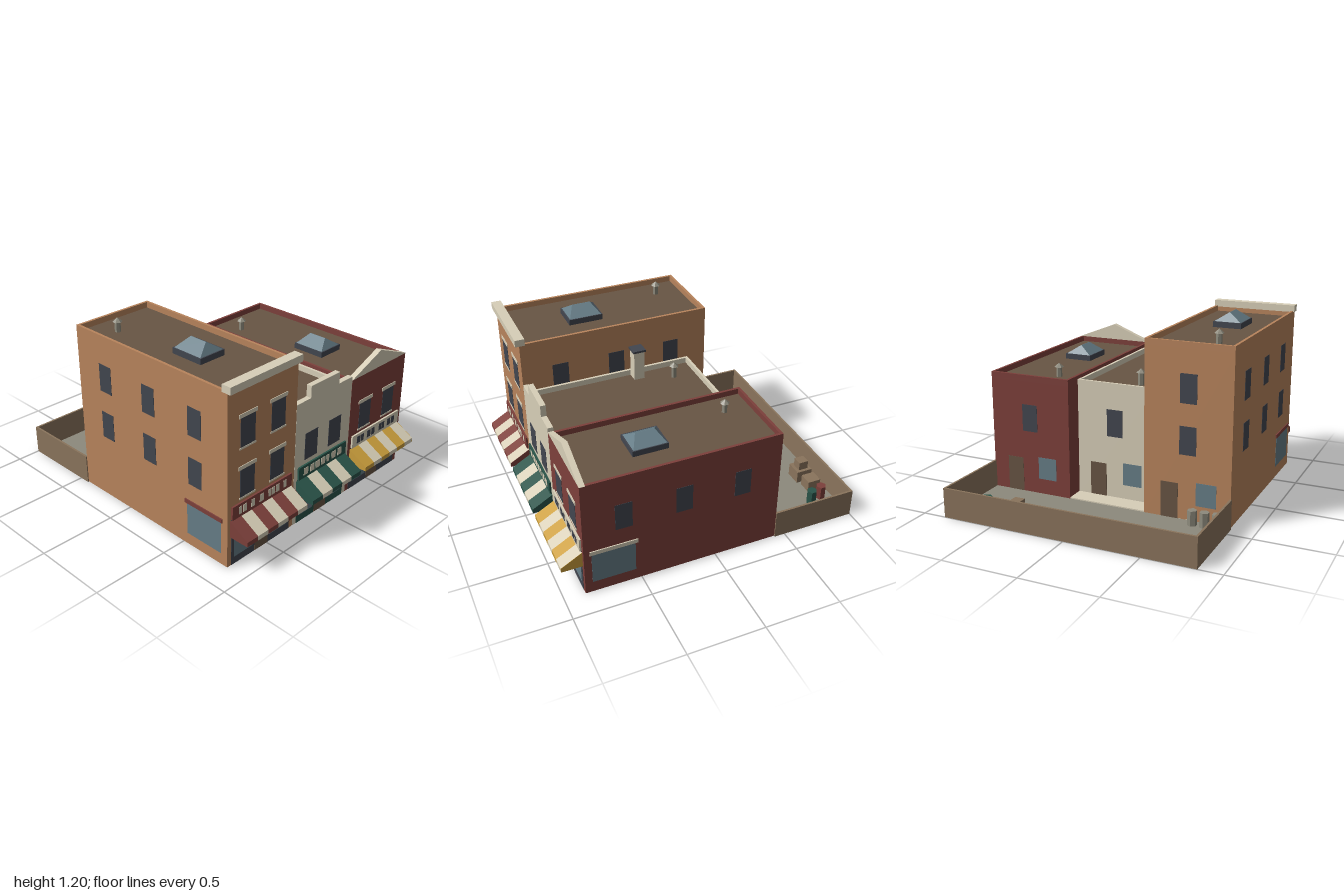
import * as THREE from 'three';

const mat = (name, color) => {
  const m = new THREE.MeshStandardMaterial({ color });
  m.name = name;
  return m;
};

export function createModel() {
  const model = new THREE.Group();
  model.name = 'shopRow';
  const tan = mat('tanBrick', 0xb8845c), cream = mat('creamStone', 0xd8cfb8), red = mat('redBrick', 0x7d403b),
    green = mat('greenPaint', 0x2a5449), yellow = mat('yellowCloth', 0xcb9e3c), dark = mat('darkSlate', 0x42464f),
    glass = mat('glass', 0x667d87), roofMat = mat('darkBrown', 0x685544), wood = mat('wood', 0x8a745c),
    paving = mat('paving', 0x8d8a7c);

  const add = (parent, name, geo, material) => {
    const m = new THREE.Mesh(geo, material);
    m.name = name;
    parent.add(m);
    return m;
  };
  // Box given by its minimum and maximum corners
  const box = (parent, name, material, x0, x1, y0, y1, z0, z1) => {
    const m = add(parent, name, new THREE.BoxGeometry(x1 - x0, y1 - y0, z1 - z0), material);
    m.position.set((x0 + x1) / 2, (y0 + y1) / 2, (z0 + z1) / 2);
    return m;
  };
  const prism = (parent, name, material, rTop, rBottom, x, y0, y1, z) => {
    const geo = new THREE.CylinderGeometry(rTop, rBottom, y1 - y0, 6).toNonIndexed();
    geo.computeVertexNormals();
    add(parent, name, geo, material).position.set(x, (y0 + y1) / 2, z);
  };
  const group = (name) => {
    const g = new THREE.Group();
    g.name = name;
    model.add(g);
    return g;
  };

  const FRONT = 0.865, BACK = -0.427, SINK = 0.042, THIN = 0.002;
  const ROWS = [[0.435, 0.617], [0.76, 0.945]], SIDE_Z = [-0.17, 0.22, 0.607];

  // Body, raised parapet rim and sunken roof
  function shell(g, wall, x0, x1, zBack, top) {
    const t = 0.018, r = top - SINK;
    box(g, 'walls', wall, x0, x1, 0.003, r, zBack, FRONT);
    box(g, 'parapetLeft', wall, x1 - t, x1, r, top, zBack, FRONT);
    box(g, 'parapetRight', wall, x0, x0 + t, r, top, zBack, FRONT);
    box(g, 'parapetBack', wall, x0 + t, x1 - t, r, top, zBack, zBack + t);
    box(g, 'parapetFront', wall, x0 + t, x1 - t, r, top, FRONT - 0.036, FRONT);
    box(g, 'roof', roofMat, x0 + t, x1 - t, r - 0.001, r + 0.004, zBack + t, FRONT - 0.036);
  }

  // Upper front windows, optionally with lintels and sills
  function frontWindows(g, c, offset, rows, trimmed) {
    for (const [y0, y1] of rows) for (const x of [c - offset, c + offset]) {
      box(g, 'window', dark, x - 0.059, x + 0.059, y0, y1, FRONT, FRONT + THIN);
      if (!trimmed) continue;
      box(g, 'lintel', cream, x - 0.073, x + 0.073, y1, y1 + 0.024, FRONT, FRONT + 0.004);
      box(g, 'sill', cream, x - 0.066, x + 0.066, y0 - 0.012, y0, FRONT, FRONT + 0.004);
    }
  }

  // Rear windows, door and pane
  function backOpenings(g, c, z, rows) {
    for (const [y0, y1] of rows) box(g, 'backWindow', dark, c - 0.055, c + 0.055, y0, y1, z - THIN, z);
    box(g, 'backDoor', roofMat, c + 0.06, c + 0.175, 0.01, 0.245, z - THIN, z);
    box(g, 'backPane', glass, c - 0.19, c - 0.058, 0.115, 0.265, z - THIN, z);
  }

  // Windows along a side wall; s is the outward direction on x
  const span = (x, s, d) => [Math.min(x, x + s * d), Math.max(x, x + s * d)];
  function sideWindows(g, x, s, rows) {
    for (const [y0, y1] of rows) for (const z of SIDE_Z)
      box(g, 'sideWindow', dark, ...span(x, s, THIN), y0, y1, z - 0.054, z + 0.054);
  }
  function sideDisplay(g, x, s, trim) {
    box(g, 'sideDisplay', glass, ...span(x, s, THIN), 0.08, 0.295, 0.538, 0.817);
    box(g, 'sideDisplayLintel', trim, ...span(x, s, 0.007), 0.295, 0.322, 0.522, 0.828);
  }

  // Shop window frame, panes, door, sign and striped awning
  function shopfront(g, c, half, frame, signMat, tileMat, cloth, stripes, tiles) {
    const z = FRONT + THIN;
    box(g, 'shopFrame', frame, c - half, c + half, 0.003, 0.32, FRONT, z);
    for (const s of [-1, 1])
      box(g, 'displayPane', glass, ...span(c + s * 0.074, s, half - 0.096), 0.053, 0.29, z, z + THIN);
    box(g, 'shopDoor', roofMat, c - 0.058, c + 0.058, 0.004, 0.29, z, z + THIN);
    box(g, 'doorPane', glass, c - 0.043, c + 0.043, 0.085, 0.27, z + THIN, z + 2 * THIN);
    box(g, 'signBoard', signMat, c - half, c + half, 0.318, 0.405, FRONT, FRONT + 0.012);
    for (const [x, w] of tiles)
      box(g, 'signTile', tileMat, c + x - w / 2, c + x + w / 2, 0.338, 0.387, FRONT + 0.012, FRONT + 0.014);

    const wedge = (name, m, x0, x1) => {
      const sh = new THREE.Shape([[FRONT, 0.205], [1, 0.205], [1, 0.235], [FRONT, 0.312]]
        .map(([a, b]) => new THREE.Vector2(-a, b)));
      const geo = new THREE.ExtrudeGeometry(sh, { depth: x1 - x0, bevelEnabled: false });
      geo.rotateY(Math.PI / 2);
      add(g, name, geo, m).position.x = x0;
    };
    const w = half + 0.007, step = 2 * w / stripes;
    for (let i = 0; i < stripes; i++)
      wedge('awningStripe', i % 2 ? cream : cloth, c - w + i * step, c - w + (i + 1) * step);
    wedge('awningEnd', cloth, c - w - 0.002, c - w);
    wedge('awningEnd', cloth, c + w, c + w + 0.002);
  }

  // Hipped glass skylight on a dark curb
  function skylight(g, x, y, z) {
    box(g, 'skylightCurb', dark, x - 0.097, x + 0.097, y - SINK, y, z - 0.116, z + 0.116);
    const geo = new THREE.BoxGeometry(0.18, 0.058, 0.216).toNonIndexed();
    const p = geo.attributes.position;
    for (let i = 0; i < p.count; i++) if (p.getY(i) > 0) {
      p.setX(i, p.getX(i) * 0.02);
      p.setZ(i, p.getZ(i) * 0.58);
    }
    geo.computeVertexNormals();
    add(g, 'skylightGlass', geo, glass).position.set(x, y + 0.029, z);
  }
  function vent(g, x, y, z) {
    prism(g, 'ventPipe', paving, 0.019, 0.019, x, y - 0.06, y + 0.03, z);
    prism(g, 'ventCap', paving, 0.003, 0.032, x, y + 0.028, y + 0.054, z);
  }

  // Tall tan building
  const A = group('tanBuilding');
  shell(A, tan, -0.838, -0.266, BACK, 1.137);
  box(A, 'cornice', cream, -0.845, -0.261, 1.13, 1.176, 0.828, 0.892);
  frontWindows(A, -0.552, 0.126, ROWS, true);
  backOpenings(A, -0.555, BACK, ROWS);
  sideWindows(A, -0.838, -1, ROWS);
  sideWindows(A, -0.266, 1, [[0.793, 0.945]]);
  sideDisplay(A, -0.838, -1, red);
  shopfront(A, -0.553, 0.254, dark, red, cream, red, 6, [[-0.192, 0.025], [-0.154, 0.03], [-0.087, 0.03],
    [-0.012, 0.035], [0.058, 0.025], [0.088, 0.025], [0.125, 0.03], [0.19, 0.025]]);
  skylight(A, -0.555, 1.137, 0.355);
  vent(A, -0.67, 1.137, -0.235);

  // Middle cream building with stepped front
  const B = group('creamBuilding');
  shell(B, cream, -0.265, 0.264, -0.298, 0.792);
  box(B, 'steppedFront', cream, -0.265, 0.264, 0.79, 0.843, 0.829, FRONT);
  box(B, 'steppedCrown', cream, -0.137, 0.131, 0.843, 0.921, 0.829, FRONT);
  frontWindows(B, -0.002, 0.113, [ROWS[0]], false);
  backOpenings(B, 0, -0.298, [ROWS[0]]);
  shopfront(B, -0.002, 0.23, green, green, cream, green, 5,
    [-0.165, -0.105, -0.053, 0, 0.047, 0.105, 0.163].map((x, i) => [x, i === 4 ? 0.025 : 0.04]));
  box(B, 'chimney', cream, -0.247, -0.174, 0.74, 0.956, 0.056, 0.129);
  box(B, 'chimneyCap', dark, -0.256, -0.169, 0.956, 0.97, 0.047, 0.136);
  vent(B, -0.11, 0.81, -0.13);

  // Red building with pediment
  const C = group('redBuilding');
  shell(C, red, 0.265, 0.838, BACK, 0.815);
  const tri = new THREE.Shape([[0.262, 0.815], [0.842, 0.815], [0.552, 0.93]].map((p) => new THREE.Vector2(...p)));
  add(C, 'pediment', new THREE.ExtrudeGeometry(tri, { depth: 0.037, bevelEnabled: false }), cream).position.z = 0.829;
  frontWindows(C, 0.549, 0.126, [ROWS[0]], true);
  backOpenings(C, 0.555, BACK, [ROWS[0]]);
  sideWindows(C, 0.838, 1, [ROWS[0]]);
  sideDisplay(C, 0.838, 1, cream);
  shopfront(C, 0.552, 0.254, dark, cream, dark, yellow, 6, [[-0.19, 0.033], [-0.15, 0.03], [-0.08, 0.035],
    [-0.034, 0.033], [0.045, 0.025], [0.077, 0.028], [0.143, 0.033], [0.188, 0.033]]);
  skylight(C, 0.553, 0.815, 0.355);
  vent(C, 0.435, 0.815, -0.235);

  // Foundation under the buildings, and the walled back yard
  const Y = group('yard');
  box(Y, 'foundation', cream, -0.834, 0.834, 0, 0.02, BACK, 0.862);
  box(Y, 'yardGround', paving, -0.84, 0.84, 0, 0.012, -0.995, BACK);
  box(Y, 'yardWallBack', wood, -0.845, 0.845, 0, 0.195, -1, -0.986);
  box(Y, 'yardWallRight', wood, -0.845, -0.831, 0, 0.195, -0.986, BACK);
  box(Y, 'yardWallLeft', wood, 0.831, 0.845, 0, 0.195, -0.986, BACK);
  box(Y, 'crate', wood, 0.318, 0.43, 0.012, 0.1, -0.95, -0.838);
  box(Y, 'crateOnTop', wood, 0.34, 0.408, 0.1, 0.16, -0.928, -0.86);
  box(Y, 'smallCrate', wood, 0.453, 0.545, 0.012, 0.09, -0.95, -0.858);
  prism(Y, 'redBarrel', red, 0.034, 0.034, 0.623, 0.012, 0.11, -0.906);
  prism(Y, 'greenBarrel', green, 0.034, 0.034, 0.645, 0.012, 0.11, -0.822);
  for (const x of [-0.773, -0.693, -0.613]) prism(Y, 'bin', paving, 0.031, 0.031, x, 0.012, 0.11, -0.483);

  return model;
}
